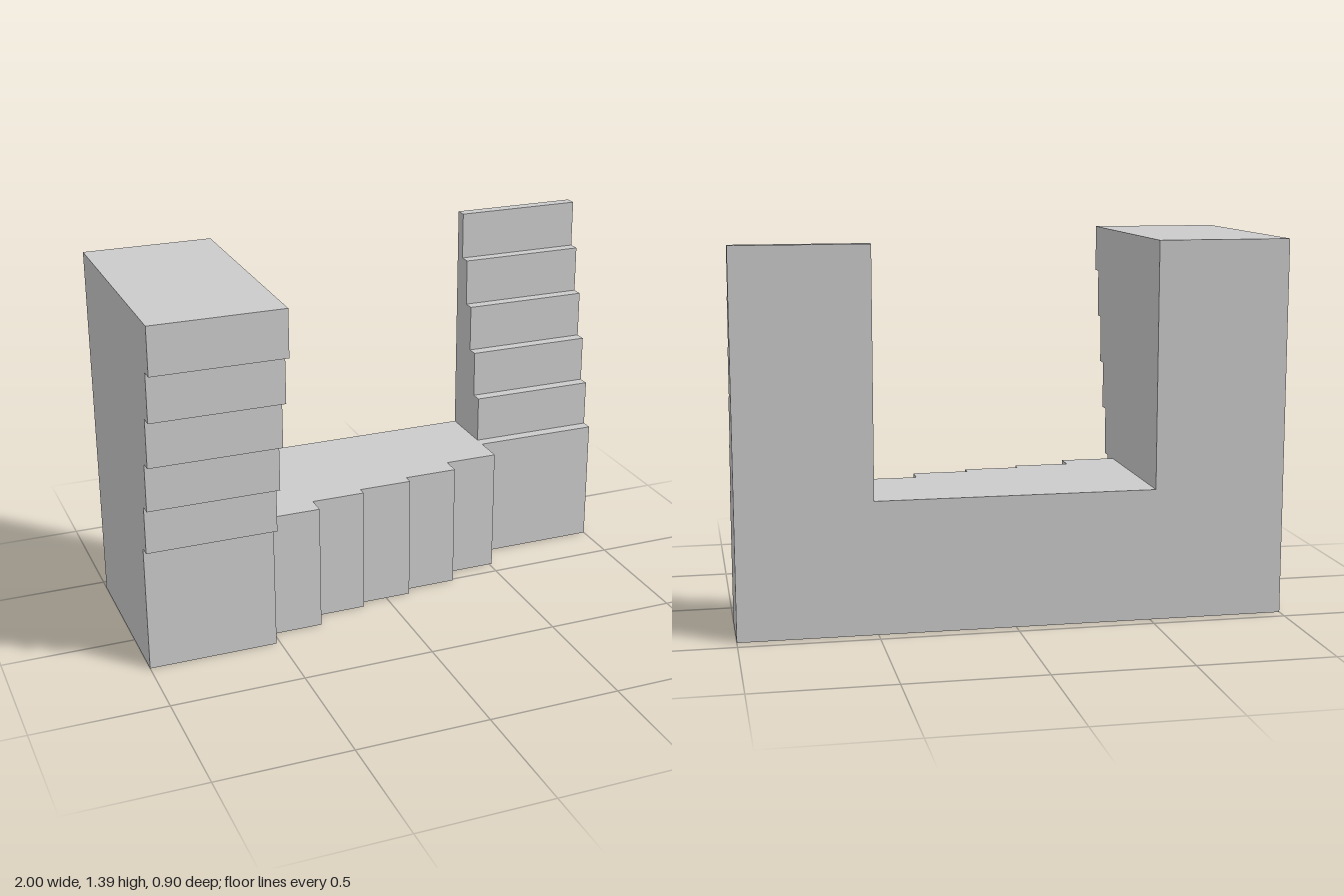
import * as THREE from 'three';

const BACK = -0.448, BASE_H = 0.486;
const material = new THREE.MeshStandardMaterial({ color: 0xcccccc, flatShading: true });

function extrude(points, depth) {
  const shape = new THREE.Shape(points.map(([a, b]) => new THREE.Vector2(a, b)));
  return new THREE.ExtrudeGeometry(shape, { depth, bevelEnabled: false });
}

function addMesh(group, name, geometry) {
  const mesh = new THREE.Mesh(geometry, material);
  mesh.name = name;
  group.add(mesh);
}

// Stepped tower: side profile in (z, y), extruded along x
function towerGeometry(xMin, xMax, frontZ, stepZ, rise) {
  const points = [[BACK, 0], [frontZ, 0]];
  for (let i = 0; i < 5; i++) {
    const y = BASE_H + i * rise;
    points.push([frontZ + i * stepZ, y], [frontZ + (i + 1) * stepZ, y]);
  }
  points.push([frontZ + 5 * stepZ, 1.386], [BACK, 1.386]);
  return extrude(points, xMax - xMin).rotateY(-Math.PI / 2).translate(xMax, 0, 0);
}

// Low wall: plan profile in (x, -z), extruded upward
function wallGeometry() {
  const xs = [-0.515, -0.31, -0.106, 0.098, 0.304, 0.511];
  const fronts = [0.153, 0.08, 0.047, 0.01, -0.063];
  const points = [[xs[0], -BACK]];
  fronts.forEach((z, i) => points.push([xs[i], -z], [xs[i + 1], -z]));
  points.push([xs[5], -BACK]);
  return extrude(points, BASE_H).rotateX(-Math.PI / 2);
}

export function createModel() {
  const group = new THREE.Group();
  group.name = 'steppedBlock';
  // Deep tower whose steps overhang forward as they rise
  addMesh(group, 'overhangingTower', towerGeometry(-1, -0.515, 0.226, 0.0446, 0.181));
  // Thin tower whose steps recede toward the back
  addMesh(group, 'recedingTower', towerGeometry(0.511, 1, -0.18, -0.0446, 0.18));
  // Connecting wall with a front stepped in plan
  addMesh(group, 'connectingWall', wallGeometry());
  return group;
}
